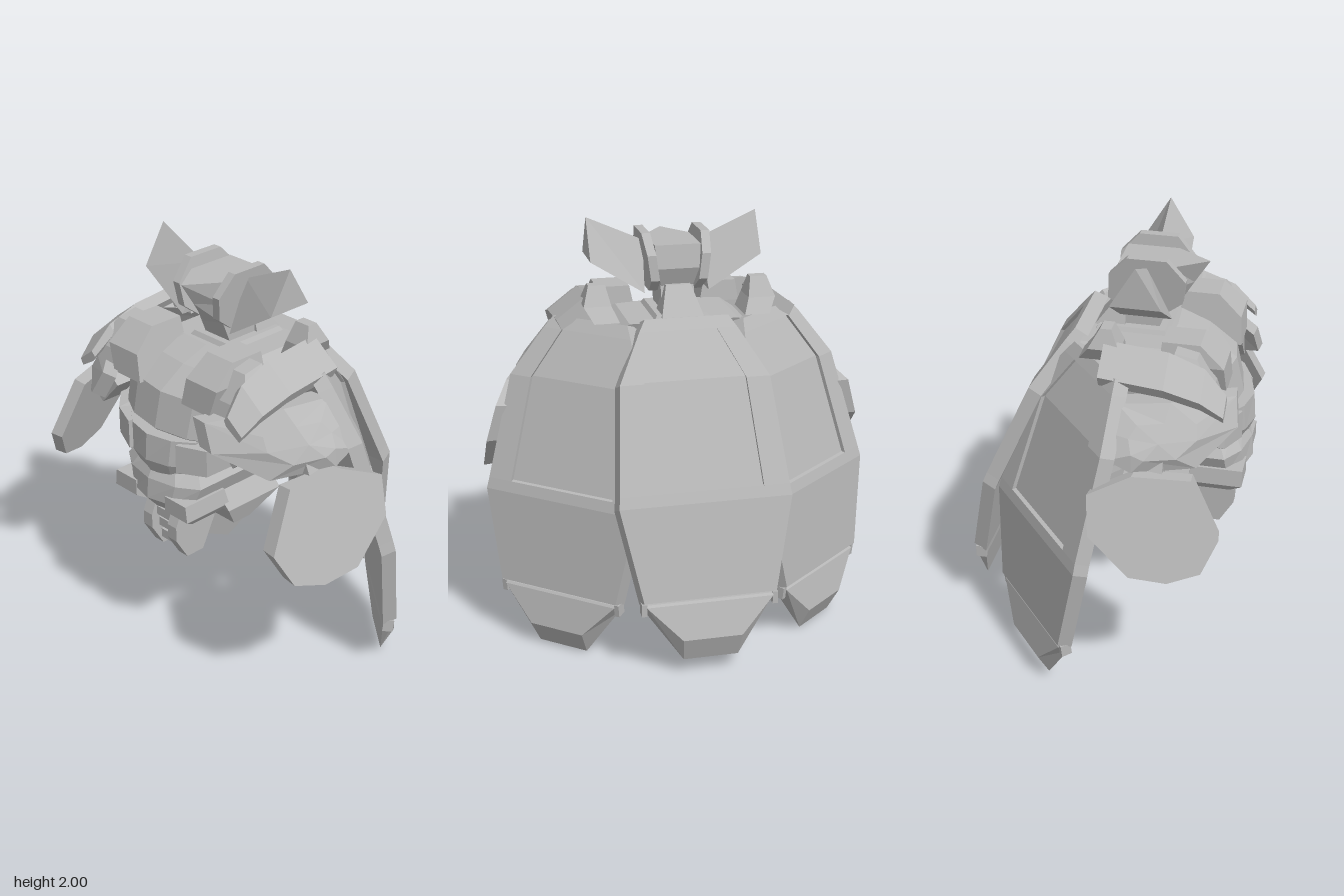
import * as THREE from 'three';

const grey = new THREE.MeshStandardMaterial({ color: 0xb8b8b8 });
grey.name = 'plain grey';

// Closed faceted solid lofted through rings of [x, y, z]; winding is fixed by signed volume
function loft(rings) {
  const tris = [];
  const n = rings[0].length;
  for (let r = 0; r < rings.length - 1; r++) {
    for (let i = 0; i < n; i++) {
      const j = (i + 1) % n;
      const a = rings[r][i], b = rings[r][j], c = rings[r + 1][j], d = rings[r + 1][i];
      tris.push([a, b, c], [a, c, d]);
    }
  }
  const last = rings[rings.length - 1];
  for (let i = 1; i < n - 1; i++) {
    tris.push([rings[0][0], rings[0][i + 1], rings[0][i]], [last[0], last[i], last[i + 1]]);
  }
  let volume = 0;
  for (const [a, b, c] of tris) {
    volume += a[0] * (b[1] * c[2] - b[2] * c[1]) + a[1] * (b[2] * c[0] - b[0] * c[2]) + a[2] * (b[0] * c[1] - b[1] * c[0]);
  }
  const pos = tris.flatMap(t => (volume < 0 ? [t[0], t[2], t[1]] : t)).flat();
  const g = new THREE.BufferGeometry();
  g.setAttribute('position', new THREE.Float32BufferAttribute(pos, 3));
  g.computeVertexNormals();
  return g;
}

function add(parent, name, geometry) {
  const m = new THREE.Mesh(geometry, grey);
  m.name = name;
  parent.add(m);
  return m;
}

// Adds a loft on both sides; s is +1 or -1 and multiplies x
function pair(parent, name, rings) {
  for (const s of [1, -1]) {
    add(parent, (s > 0 ? 'left' : 'right') + name, loft(rings.map(r => r.map(([x, y, z]) => [s * x, y, z]))));
  }
}

// Rings for a plate outlined in z and y, whose outer x follows f(z, y)
function plateRings(outline, f, thickness) {
  const cz = outline.reduce((a, p) => a + p[0], 0) / outline.length;
  const cy = outline.reduce((a, p) => a + p[1], 0) / outline.length;
  const ring = (k, t) => outline.map(([z, y]) => {
    const pz = cz + (z - cz) * k, py = cy + (y - cy) * k;
    return [f(pz, py) - t, py, pz];
  });
  return [ring(0, 0), ring(0.5, 0), ring(1, 0), ring(0.97, thickness), ring(0.5, thickness), ring(0, thickness)];
}

// Body ring with a ridge down the middle of the front
const bodyRing = (y, hx, back, front, ridge = 0.06) => [
  [-hx, y, back], [hx, y, back], [hx, y, front - ridge * 1.6], [hx * 0.6, y, front - ridge * 0.5],
  [0, y, front], [-hx * 0.6, y, front - ridge * 0.5], [-hx, y, front - ridge * 1.6]];

const boxRing = (y, x0, x1, z0, z1) => [[x0, y, z0], [x1, y, z0], [x1, y, z1], [x0, y, z1]];

// Long hanging plate with a recessed window and a hinged lower tip
function skirtPlate(name) {
  const g = new THREE.Group();
  g.name = name;
  // y, half width, outward distance, window half width, window depth
  const rows = [
    [1.58, 0.21, 0.14, 0.12, 0], [1.53, 0.245, 0.18, 0.135, 0], [1.53, 0.245, 0.18, 0.135, 0.02],
    [1.33, 0.365, 0.325, 0.24, 0.02], [0.87, 0.41, 0.53, 0.275, 0.02], [0.87, 0.41, 0.53, 0.275, 0],
    [0.82, 0.417, 0.55, 0.275, 0], [0.385, 0.325, 0.642, 0.2, 0]];
  add(g, 'upperPlate', loft(rows.map(([y, w, d, wi, r]) => {
    const o = w - 0.012, inner = d - 0.062;
    return [[-w, y - 0.03, -inner], [-o, y, -d], [-wi, y, -d], [-wi, y, -d + r],
      [wi, y, -d + r], [wi, y, -d], [o, y, -d], [w, y - 0.03, -inner]];
  })));
  // bevelled tip
  add(g, 'lowerPlate', loft([
    [[-0.30, 0.37, -0.585], [-0.30, 0.37, -0.627], [0.30, 0.37, -0.627], [0.30, 0.37, -0.585]],
    [[-0.295, 0.31, -0.59], [-0.3, 0.36, -0.636], [0.3, 0.36, -0.636], [0.295, 0.31, -0.59]],
    [[-0.13, 0.08, -0.642], [-0.14, 0.20, -0.688], [0.14, 0.20, -0.688], [0.13, 0.08, -0.642]]]));
  for (const s of [1, -1]) {
    add(g, 'hingeTab', new THREE.BoxGeometry(0.025, 0.06, 0.05)).position.set(s * 0.31, 0.345, -0.607);
  }
  return g;
}

export function createModel() {
  const model = new THREE.Group();
  model.name = 'armouredFigure';

  // Hanging plates: one behind, one turned to each side
  model.add(skirtPlate('backSkirt'));
  for (const s of [1, -1]) {
    const side = skirtPlate(s > 0 ? 'leftSkirt' : 'rightSkirt');
    side.rotation.set(-0.12, -s * 0.698, 0, 'YXZ');
    side.position.set(s * 0.217, 0, 0.255);
    model.add(side);
  }

  // Torso
  add(model, 'chest', loft([
    bodyRing(1.55, 0.26, -0.1, 0.3, 0.02), bodyRing(1.5, 0.33, -0.08, 0.44, 0.04),
    bodyRing(1.41, 0.31, -0.04, 0.58), bodyRing(1.24, 0.3, 0.02, 0.62), bodyRing(1.2, 0.24, 0.06, 0.58)]));
  add(model, 'abdomen', loft([
    bodyRing(1.23, 0.22, 0.1, 0.67), bodyRing(1.1, 0.2, 0.12, 0.68), bodyRing(0.98, 0.14, 0.16, 0.63)]));
  add(model, 'belt', loft([
    bodyRing(1.1, 0.17, 0.2, 0.62), bodyRing(1.0, 0.25, 0.18, 0.67), bodyRing(0.9, 0.21, 0.18, 0.68),
    bodyRing(0.83, 0.2, 0.2, 0.62)]));
  add(model, 'pelvis', loft([
    boxRing(0.95, -0.2, 0.2, 0.12, 0.45), boxRing(0.83, -0.27, 0.27, 0.09, 0.42),
    boxRing(0.73, -0.24, 0.24, 0.26, 0.36)]));

  // Raised collar tabs beside the neck notch
  pair(model, 'CollarTab', [
    boxRing(1.4, 0.14, 0.32, 0.28, 0.58), boxRing(1.53, 0.165, 0.36, 0.28, 0.57),
    boxRing(1.63, 0.185, 0.345, 0.29, 0.46)]);
  // Flared ribs
  pair(model, 'Rib', [
    [[0.16, 1.22, 0.35], [0.16, 1.22, 0.64], [0.16, 1.08, 0.64], [0.16, 1.08, 0.35]],
    [[0.3, 1.24, 0.32], [0.3, 1.22, 0.58], [0.3, 1.09, 0.58], [0.3, 1.1, 0.32]],
    [[0.43, 1.23, 0.3], [0.43, 1.22, 0.46], [0.42, 1.18, 0.46], [0.42, 1.18, 0.3]]]);
  // Hip blocks
  pair(model, 'HipBlock', [
    boxRing(0.94, 0.1, 0.24, 0.42, 0.66), boxRing(0.86, 0.1, 0.25, 0.4, 0.66), boxRing(0.82, 0.1, 0.22, 0.42, 0.6)]);

  // Shoulder straps bending over the front
  const strap = [[0.05, 0, 1], [0.34, -0.03, 1], [0.5, -0.08, 0.9], [0.6, -0.16, 0.6]];
  pair(model, 'ShoulderStrap', strap.map(([z, dy, k]) => {
    const p = (u, v) => [0.49 + k * u, 1.56 + dy + v * k, z];
    return [p(-0.09, 0.06), p(-0.055, 0.1), p(0.09, -0.01), p(0.065, -0.06), p(-0.07, 0.02)];
  }));
  pair(model, 'ShoulderPost', [
    [[0.35, 1.71, 0.03], [0.43, 1.71, 0.03], [0.43, 1.71, 0.08], [0.35, 1.71, 0.08]],
    [[0.33, 1.62, -0.02], [0.46, 1.62, -0.02], [0.46, 1.62, 0.12], [0.33, 1.62, 0.12]],
    [[0.3, 1.55, -0.07], [0.42, 1.55, -0.07], [0.42, 1.55, 0.12], [0.3, 1.55, 0.12]]]);
  pair(model, 'ShoulderBlock', [
    [[0.34, 1.62, 0.36], [0.42, 1.62, 0.36], [0.42, 1.6, 0.46], [0.34, 1.6, 0.46]],
    [[0.32, 1.5, 0.36], [0.53, 1.5, 0.36], [0.5, 1.48, 0.54], [0.33, 1.48, 0.54]],
    [[0.29, 1.41, 0.36], [0.46, 1.41, 0.36], [0.44, 1.4, 0.56], [0.3, 1.4, 0.56]]]);

  // Curved upper arm guards
  const upper = [[0.375, 1.46], [0.15, 1.455], [0.09, 1.36], [0.13, 1.25], [0.24, 1.2], [0.5, 1.17], [0.65, 1.28], [0.63, 1.4]];
  pair(model, 'UpperArmGuard', plateRings(upper,
    (z, y) => 0.76 - 1.9 * Math.max(0, z - 0.22) ** 2 - 0.8 * Math.max(0, y - 1.28), 0.1));
  // Flat octagonal forearm guards
  const lower = [[0.5, 1.18], [0.25, 1.21], [0.07, 1.14], [0.085, 0.96], [0.265, 0.77], [0.43, 0.735], [0.57, 0.77], [0.635, 0.915]];
  pair(model, 'ForearmGuard', plateRings(lower, (z, y) => 0.845 - 0.3 * (z - 0.35) - 0.3 * (y - 0.97), 0.075));
  // Arm struts
  for (const s of [1, -1]) {
    const arm = add(model, s > 0 ? 'leftArm' : 'rightArm', new THREE.BoxGeometry(0.34, 0.12, 0.16));
    arm.position.set(s * 0.42, 1.3, 0.28);
    const elbow = add(model, s > 0 ? 'leftElbow' : 'rightElbow', new THREE.BoxGeometry(0.08, 0.16, 0.14));
    elbow.position.set(s * 0.69, 1.17, 0.3);
    elbow.rotation.z = s * 0.4;
    const link = add(model, s > 0 ? 'leftChestLink' : 'rightChestLink', new THREE.BoxGeometry(0.09, 0.17, 0.12));
    link.position.set(s * 0.42, 1.28, 0.5);
    link.rotation.z = s * 0.75;
  }

  // Lower front hook: side rails and cross bars
  const rail = [[0.56, 0.87], [0.61, 0.75], [0.61, 0.68], [0.545, 0.57], [0.445, 0.57], [0.37, 0.72], [0.38, 0.87]];
  pair(model, 'HookRail', [0.055, 0.115].map(x => rail.map(([z, y]) => [x, y, z])));
  [0.83, 0.765, 0.7, 0.63].forEach((y, i) => {
    add(model, 'hookBar', new THREE.BoxGeometry(0.115, 0.045, 0.12)).position.set(0, y, 0.53 - 0.012 * i);
  });

  // Neck and its rear support
  add(model, 'neckBase', loft([
    boxRing(1.51, -0.16, 0.16, -0.08, 0.3), boxRing(1.57, -0.12, 0.12, -0.05, 0.26)]));
  add(model, 'neck', loft([
    boxRing(1.55, -0.08, 0.08, 0.02, 0.22), boxRing(1.7, -0.08, 0.08, 0.06, 0.28)]));
  add(model, 'neckSupport', loft([
    boxRing(1.56, -0.1, 0.1, -0.07, 0.07), boxRing(1.69, -0.06, 0.06, 0.03, 0.07)]));

  // Head with a pointed visor
  const headRing = (y, w, back, side, tip) => [[-w, y, back], [w, y, back], [w, y, side], [0, y, tip], [-w, y, side]];
  add(model, 'head', loft([
    headRing(1.67, 0.075, 0.06, 0.27, 0.31), headRing(1.77, 0.1, 0.02, 0.28, 0.37), headRing(1.88, 0.11, 0.04, 0.28, 0.44)]));

  // Leaning bands on each side of the head
  const band = [[0.1, 1.65], [0.25, 1.65], [0.34, 1.72], [0.355, 1.83], [0.27, 1.93], [0.09, 1.93], [0.005, 1.84], [0.0, 1.72]];
  const lean = y => 0.085 + 0.13 * (y - 1.65);
  pair(model, 'HeadBand', [0, 0.042].map(t => band.map(([z, y]) => [lean(y) + t, y, z])));
  // Flared triangular ears
  pair(model, 'Ear', [
    [[0.14, 1.88, 0.18], [0.155, 1.65, 0.3], [0.155, 1.65, 0.06]],
    [[0.41, 2.0, 0.18], [0.41, 1.81, 0.295], [0.41, 1.81, 0.065]]]);

  return model;
}
